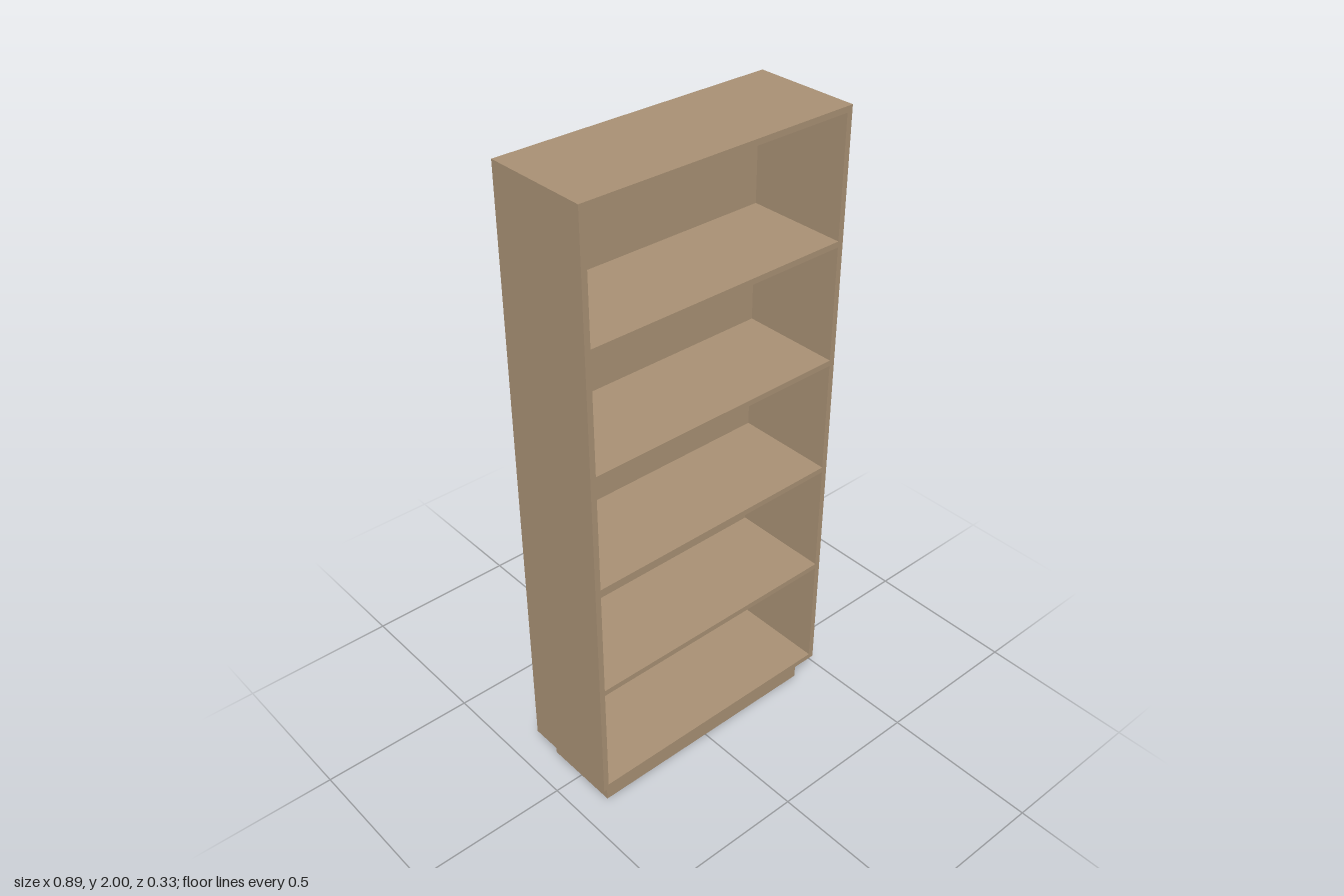
import * as THREE from 'three';

export function createModel() {
  const model = new THREE.Group();
  model.name = 'bookcase';

  const wood = new THREE.MeshStandardMaterial({ color: 0xa89074 });
  wood.name = 'light brown wood';

  const W = 0.888, D = 0.33, TOP = 2, BASE = 0.093; // carcass extents
  const T = 0.018, BACK = 0.01; // board thicknesses
  const innerW = W - 2 * T;
  const innerD = D - BACK;

  function board(name, w, h, d, x, y, z) {
    const mesh = new THREE.Mesh(new THREE.BoxGeometry(w, h, d), wood);
    mesh.name = name;
    mesh.position.set(x, y, z);
    model.add(mesh);
  }

  // Recessed plinth
  board('plinth', 0.808, BASE, 0.254, 0, BASE / 2, 0);

  // Side panels
  for (const [name, s] of [['leftSide', 1], ['rightSide', -1]]) {
    board(name, T, TOP - BASE, D, s * (W - T) / 2, (TOP + BASE) / 2, 0);
  }

  // Top and bottom panels between the sides
  board('topPanel', innerW, T, D, 0, TOP - T / 2, 0);
  board('bottomPanel', innerW, T, D, 0, BASE + T / 2, 0);

  // Thin back panel
  board('backPanel', innerW, TOP - BASE - 2 * T, BACK, 0, (TOP + BASE) / 2, (BACK - D) / 2);

  // Four evenly spaced shelves
  for (let i = 0; i < 4; i++) {
    board(`shelf${i + 1}`, innerW, T, innerD, 0, 0.487 + i * 0.3745, BACK / 2);
  }

  return model;
}
